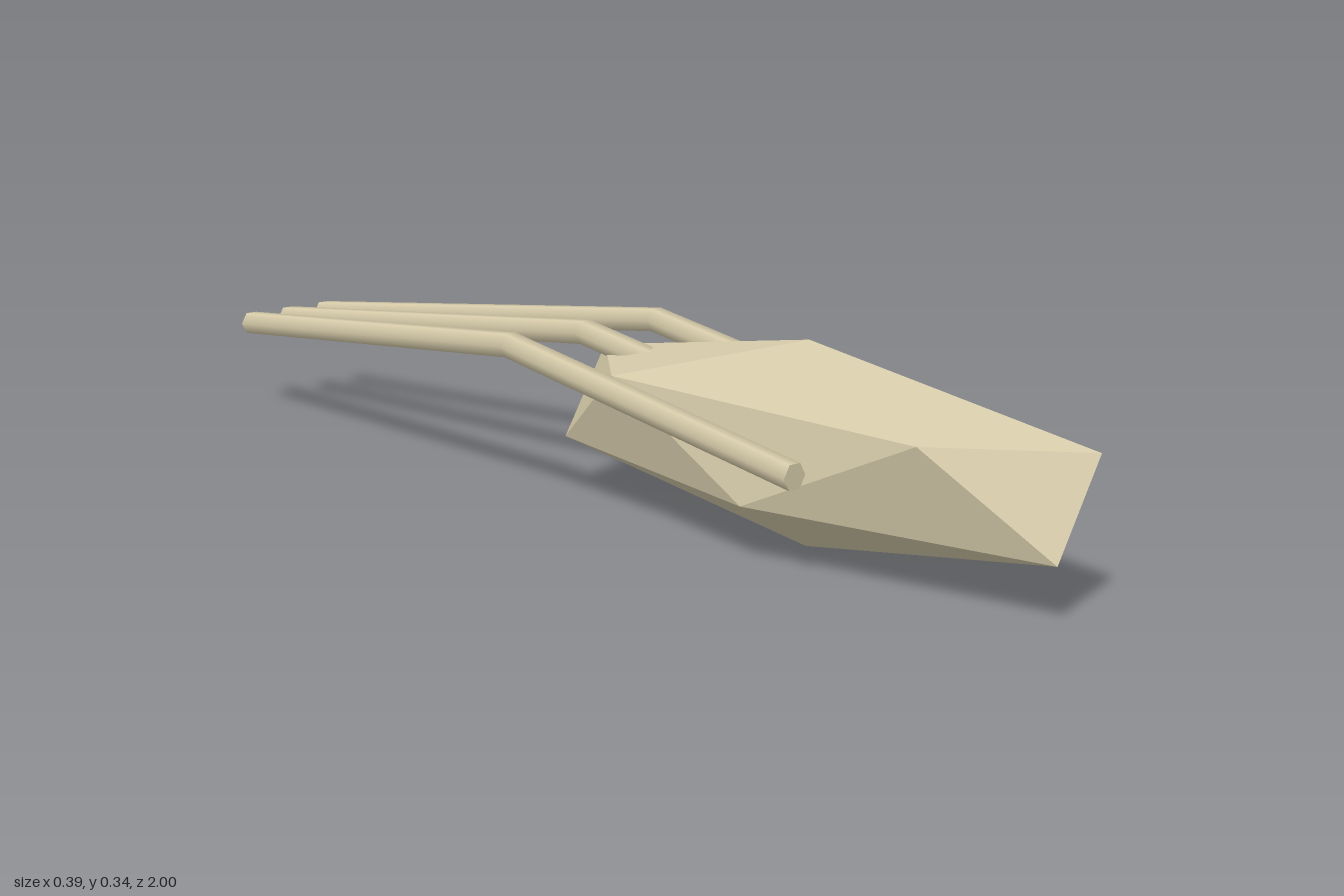
import * as THREE from 'three';
import { ConvexGeometry } from 'three/addons/geometries/ConvexGeometry.js';

const bone = new THREE.MeshStandardMaterial({ color: 0xd4c9a8 });
bone.name = 'bone beige';

// Stretched icosahedron: two poles and two opposed pentagon rings
function bodyGeometry() {
  const points = [new THREE.Vector3(0, 0.171, 0), new THREE.Vector3(0, -0.171, 0)];
  for (let i = 0; i < 5; i++) {
    const a = (i / 5) * Math.PI * 2;
    const p = new THREE.Vector3(Math.cos(a) * 0.153, 0.0765, Math.sin(a) * 0.567);
    points.push(p, p.clone().negate());
  }
  return new ConvexGeometry(points);
}

// Six-sided rod bent once: front, bend and back rings are moved to their centres
function rodGeometry(x, backX) {
  const centres = [
    new THREE.Vector3(backX, 0.175, -1),
    new THREE.Vector3(x, 0.278, -0.08),
    new THREE.Vector3(x, 0.174, 0.595),
  ];
  const geometry = new THREE.CylinderGeometry(0.0235, 0.0235, 2, 6, 2, false, Math.PI / 2);
  geometry.rotateX(Math.PI / 2);
  const pos = geometry.attributes.position;
  for (let i = 0; i < pos.count; i++) {
    const c = centres[Math.round(pos.getZ(i)) + 1];
    pos.setXYZ(i, pos.getX(i) + c.x, pos.getY(i) + c.y, c.z);
  }
  return geometry;
}

export function createModel() {
  const model = new THREE.Group();
  model.name = 'model';

  const body = new THREE.Mesh(bodyGeometry(), bone);
  body.name = 'body';
  body.position.set(0, 0.173, 0.46);
  model.add(body);

  // Side rods converge towards the back; the middle one runs into the body
  for (const [name, side] of [['rightRod', -1], ['middleRod', 0], ['leftRod', 1]]) {
    const rod = new THREE.Mesh(rodGeometry(side * 0.172, side * 0.089), bone);
    rod.name = name;
    model.add(rod);
  }
  return model;
}
